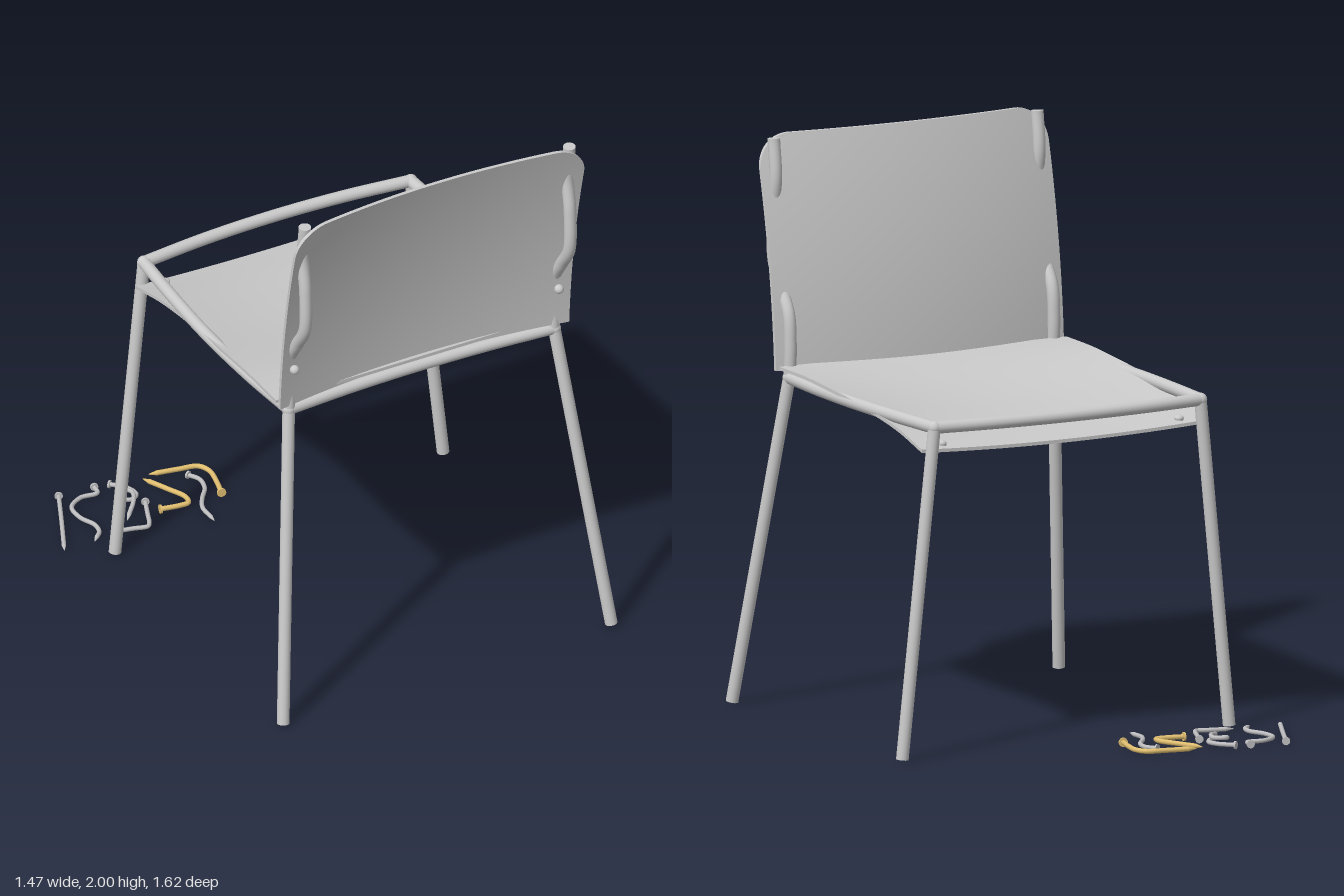
import * as THREE from 'three';

const CX = 0.065; // chair centre line
const V = (x, y, z) => new THREE.Vector3(x, y, z);

export function createModel() {
  const model = new THREE.Group();
  const material = (name, color) => Object.assign(new THREE.MeshStandardMaterial({ color }), { name });
  const chairGrey = material('chair grey', 0xcacaca);
  const steel = material('nail steel', 0xbebec0);
  const brass = material('nail brass', 0xe0be70);

  const add = (name, geometry, mat, parent = model) => {
    const mesh = new THREE.Mesh(geometry, mat);
    mesh.name = name;
    parent.add(mesh);
    return mesh;
  };
  // Straight round bar from a to b, optionally tapered
  const bar = (name, a, b, r0, r1, mat, parent, sides = 20) => {
    const dir = b.clone().sub(a);
    const mesh = add(name, new THREE.CylinderGeometry(r1, r0, dir.length(), sides), mat, parent);
    mesh.position.copy(a).add(b).multiplyScalar(0.5);
    mesh.quaternion.setFromUnitVectors(V(0, 1, 0), dir.normalize());
  };
  const bentTube = (name, points, r, mat, parent, steps = 48, sides = 16) => {
    const curve = new THREE.CatmullRomCurve3(points);
    add(name, new THREE.TubeGeometry(curve, steps, r, sides), mat, parent);
    return curve;
  };
  const ball = (name, p, r, parent) => {
    const mesh = add(name, new THREE.SphereGeometry(r, 16, 12), chairGrey, parent);
    mesh.position.copy(p);
    return mesh;
  };
  // Thin curved sheet: rule(u in -1..1, v in 0..1, thickness offset) gives the point
  const sheet = (name, cols, rows, thickness, rule) => {
    const g = new THREE.BoxGeometry(2, 1, thickness, cols, rows, 1);
    const p = g.attributes.position;
    for (let i = 0; i < p.count; i++) {
      const q = rule(p.getX(i), p.getY(i) + 0.5, p.getZ(i));
      p.setXYZ(i, q.x, q.y, q.z);
    }
    g.computeVertexNormals();
    add(name, g, chairGrey);
  };

  // Backrest, bowed towards the seat, with rounded top corners
  const backZ = (u, y) => {
    const t = (y - 1.19) / 0.81;
    return 0.622 + 0.045 * t + 0.095 * t * t - 0.052 * (1 - u * u);
  };
  sheet('backrest', 28, 40, 0.014, (u, v, d) => {
    const y = 1.19 + 0.808 * (1 - (1 - v) ** 2);
    const r = 0.12, rise = Math.max(0, y - (1.998 - r));
    const half = 0.568 - r + Math.sqrt(Math.max(0, r * r - rise * rise));
    const x = u * half;
    return V(CX + x, y, backZ(x / 0.568, y) + d);
  });

  // Seat, dished in the middle and drooping at the open edge
  const seatEdge = new THREE.CatmullRomCurve3([
    [1.203, 0.595], [1.2, 0.42], [1.19, 0.27], [1.175, 0.1],
    [1.157, -0.08], [1.128, -0.25], [1.083, -0.415],
  ].map(([y, z]) => V(0, y, z)));
  sheet('seat', 24, 36, 0.012, (u, v, d) => {
    const p = seatEdge.getPoint(v);
    const sag = 0.016 * v + 0.04 * Math.sin(Math.PI * v);
    return V(CX + u * 0.566, p.y - sag * (1 - u * u) + d, p.z);
  });

  // Tubular frame, mirrored about the centre line
  const R = 0.022;
  const frame = new THREE.Group();
  frame.name = 'frame';
  model.add(frame);
  for (const s of [1, -1]) {
    const X = (x) => CX + s * x;
    const frontTop = V(X(0.525), 1.165, -0.43);
    const rearTop = V(X(0.522), 1.165, 0.605);
    bar('openSideLeg', V(X(0.645), 0.008, -0.418), frontTop, R, R, chairGrey, frame);
    bar('backrestSideLeg', V(X(0.645), 0.008, 0.79), rearTop, R, R, chairGrey, frame);
    ball('legJoint', frontTop, R * 1.08, frame);
    ball('legJoint', rearTop, R * 1.08, frame);
    bentTube('sideRail', [
      frontTop, V(X(0.54), 1.165, -0.2), V(X(0.549), 1.165, 0.05), V(X(0.542), 1.165, 0.35), rearTop,
    ], R, chairGrey, frame);
    // Upright weaving through the backrest
    const upright = [
      [1.165, 0.604], [1.28, 0.6], [1.385, 0.612], [1.47, 0.664], [1.56, 0.718],
      [1.72, 0.722], [1.85, 0.704], [1.982, 0.718],
    ].map(([y, z]) => V(X(0.52), y, z));
    bentTube('backUpright', upright, R, chairGrey, frame, 64);
    bar('uprightCap', V(X(0.52), 1.972, 0.717), V(X(0.52), 1.987, 0.718), R, R, chairGrey, frame);
    // Screws
    ball('backScrew', V(X(0.52), 1.35, 0.644), 0.017, frame);
    bar('backScrewShank', V(X(0.52), 1.35, 0.6), V(X(0.52), 1.35, 0.648), 0.012, 0.012, chairGrey, frame);
    const top = ball('seatScrew', V(X(0.468), 1.096, -0.38), 0.017, frame);
    top.scale.y = 0.7;
    bar('seatScrewNut', V(X(0.468), 1.074, -0.38), V(X(0.468), 1.095, -0.38), 0.016, 0.016, chairGrey, frame);
  }
  const crossRail = (name, zEnd, zMid) => bentTube(name, [-0.525, -0.27, 0, 0.27, 0.525].map((x) =>
    V(CX + x, 1.165, zMid + (zEnd - zMid) * (x / 0.525) ** 2)), R, chairGrey, frame);
  crossRail('openSideRail', -0.43, -0.466);
  crossRail('backrestSideRail', 0.605, 0.582);

  // Loose bent nails on the floor: [x, z, y] from head to point
  const nail = (name, path, mat, r = 0.008) => {
    const group = new THREE.Group();
    group.name = name;
    model.add(group);
    const pts = path.map(([x, z, y = 0.016]) => V(x, y, z));
    const curve = bentTube('shank', pts, r, mat, group, 60, 10);
    const head = curve.getPoint(0), tip = curve.getPoint(1);
    const h = curve.getTangent(0), t = curve.getTangent(1);
    bar('head', head.clone().addScaledVector(h, -0.007), head, r * 1.8, r * 1.8, mat, group, 14);
    bar('point', tip, tip.clone().addScaledVector(t, 0.03), r, 0.001, mat, group, 10);
  };
  nail('straightNail', [[-0.592, -0.8], [-0.655, -0.665], [-0.722, -0.525]], steel);
  nail('wavyNail', [
    [-0.457, -0.79], [-0.465, -0.755], [-0.53, -0.757], [-0.585, -0.72],
    [-0.59, -0.65], [-0.567, -0.585], [-0.575, -0.54], [-0.596, -0.518],
  ], steel);
  nail('loopedNail', [
    [-0.4, -0.78], [-0.36, -0.735], [-0.35, -0.685], [-0.385, -0.658, 0.02], [-0.42, -0.685, 0.025],
    [-0.4, -0.715, 0.03], [-0.367, -0.69, 0.03], [-0.385, -0.64, 0.03], [-0.435, -0.582, 0.018],
  ], steel);
  nail('hookedNail', [
    [-0.347, -0.625], [-0.37, -0.57], [-0.4, -0.5], [-0.412, -0.49], [-0.46, -0.502], [-0.512, -0.514],
  ], steel);
  nail('curvedNail', [
    [-0.135, -0.7], [-0.115, -0.66], [-0.125, -0.605], [-0.165, -0.55], [-0.19, -0.5], [-0.192, -0.44],
  ], steel);
  nail('brassNail', [
    [-0.318, -0.562], [-0.25, -0.55], [-0.218, -0.552], [-0.21, -0.59], [-0.24, -0.66], [-0.273, -0.73],
  ], brass, 0.009);
  nail('brassNail', [
    [-0.087, -0.555], [-0.07, -0.62], [-0.06, -0.69], [-0.08, -0.733], [-0.15, -0.75], [-0.226, -0.765],
  ], brass, 0.009);

  return model;
}
